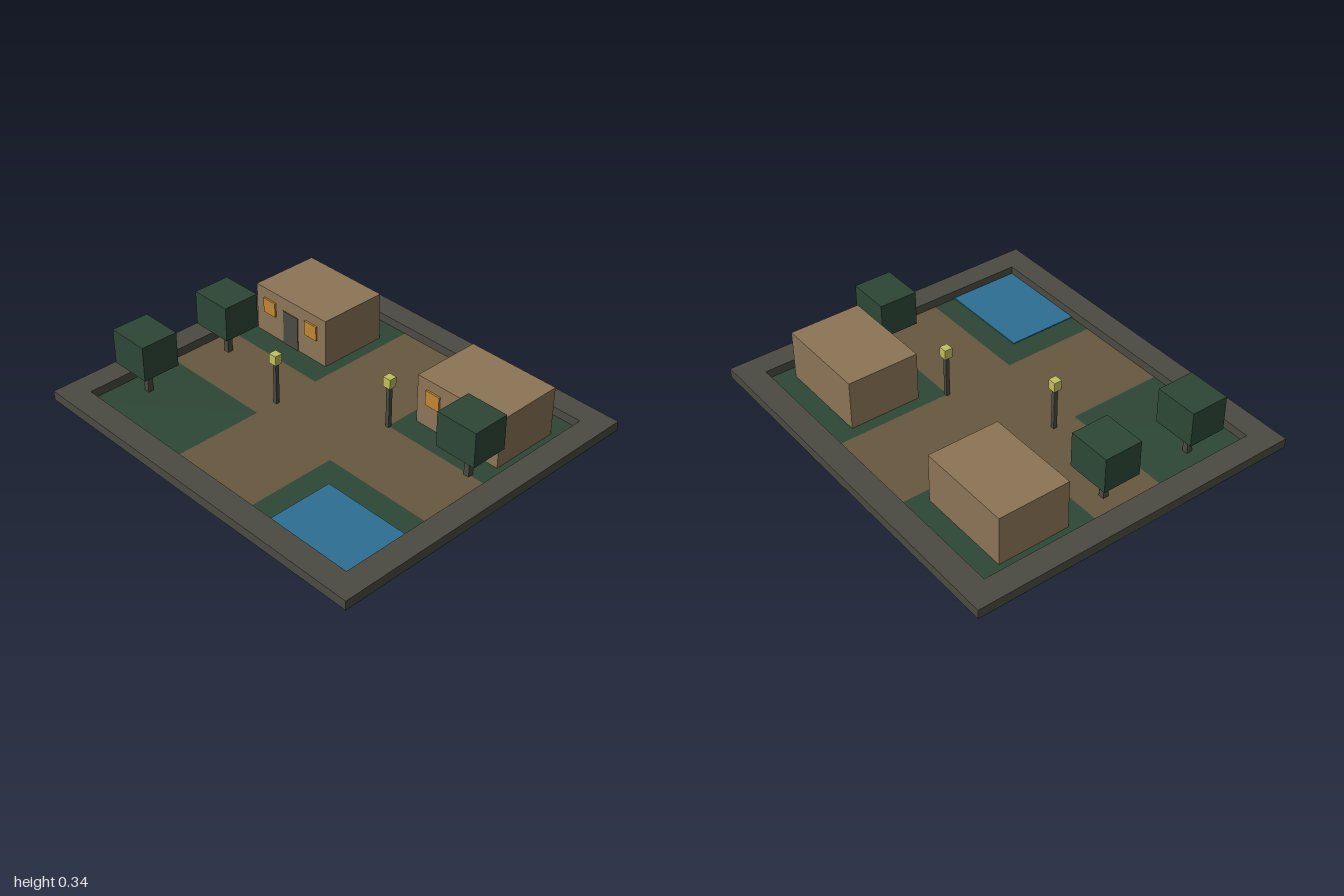
import * as THREE from 'three';

const paint = (name, color) => {
  const m = new THREE.MeshStandardMaterial({ color });
  m.name = name;
  return m;
};

export function createModel() {
  const stone = paint('stone', 0x4b4a42);
  const green = paint('green', 0x2d4736);
  const dirt = paint('dirt', 0x685840);
  const water = paint('water', 0x2d6f93);
  const clay = paint('clay', 0x8c7556);
  const amber = paint('amber', 0xc28632);
  const glow = paint('glow', 0xc2bf5e);

  const model = new THREE.Group();
  model.name = 'village';

  // Box given by its minimum and maximum on each axis
  const box = (parent, name, mat, [x0, x1], [y0, y1], [z0, z1]) => {
    const mesh = new THREE.Mesh(new THREE.BoxGeometry(x1 - x0, y1 - y0, z1 - z0), mat);
    mesh.position.set((x0 + x1) / 2, (y0 + y1) / 2, (z0 + z1) / 2);
    mesh.name = name;
    parent.add(mesh);
  };
  const group = (name, x, z) => {
    const g = new THREE.Group();
    g.name = name;
    g.position.set(x, 0, z);
    model.add(g);
    return g;
  };

  // Ground: crossing dirt paths with a lawn in each corner
  const T = 0.004;
  box(model, 'mainPath', dirt, [-0.25, 0.25], [0, T], [-0.875, 0.875]);
  for (const xs of [[-1, -0.25], [0.25, 1]]) {
    box(model, 'crossPath', dirt, xs, [0, T], [-0.125, 0.25]);
    box(model, 'lawn', green, xs, [0, T], [-0.875, -0.125]);
    box(model, 'lawn', green, xs, [0, T], [0.25, 0.875]);
  }
  box(model, 'pond', water, [0.375, 0.875], [T, 0.009], [0.375, 0.75]);

  // Surrounding wall, one outline with a hole
  const outline = (w, d) => [[-w, -d], [w, -d], [w, d], [-w, d]].map(p => new THREE.Vector2(...p));
  const ring = new THREE.Shape(outline(1, 0.875));
  ring.holes.push(new THREE.Path(outline(0.875, 0.75)));
  const wallGeo = new THREE.ExtrudeGeometry(ring, { depth: 0.05 - T, bevelEnabled: false });
  wallGeo.rotateX(-Math.PI / 2).translate(0, T, 0);
  const wall = new THREE.Mesh(wallGeo, stone);
  wall.name = 'perimeterWall';
  model.add(wall);

  // Houses with a door and two windows on the front
  for (const x of [-0.56, 0.56]) {
    const house = group('house', x, -0.4375);
    box(house, 'houseBody', clay, [-0.25, 0.25], [T, 0.265], [-0.1875, 0.1875]);
    box(house, 'door', stone, [-0.053, 0.053], [T, 0.192], [0.1875, 0.191]);
    for (const s of [-0.15, 0.15])
      box(house, 'window', amber, [s - 0.042, s + 0.042], [0.13, 0.21], [0.1875, 0.197]);
  }

  // Trees
  for (const [x, z] of [[-0.75, 0], [-0.75, 0.5], [0.75, -0.125]]) {
    const tree = group('tree', x, z);
    box(tree, 'trunk', stone, [-0.015, 0.015], [T, 0.155], [-0.015, 0.015]);
    box(tree, 'foliage', green, [-0.1125, 0.1125], [0.155, 0.34], [-0.1, 0.1]);
  }

  // Lamps
  for (const [x, z] of [[-0.25, 0.125], [0.25, -0.125]]) {
    const lamp = group('lamp', x, z);
    box(lamp, 'post', stone, [-0.01, 0.01], [T, 0.23], [-0.01, 0.01]);
    box(lamp, 'lantern', glow, [-0.022, 0.022], [0.23, 0.282], [-0.021, 0.021]);
  }

  return model;
}
